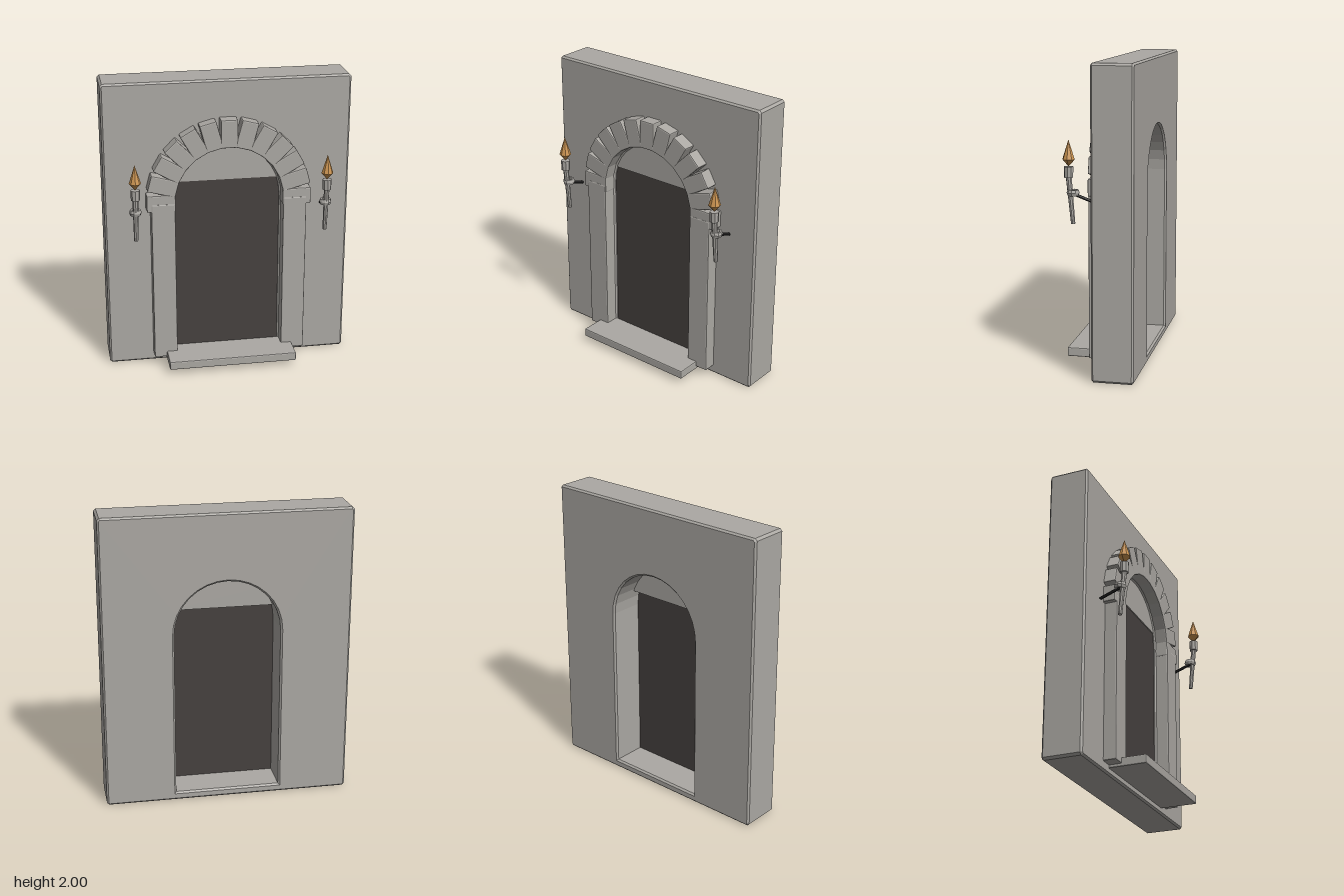
import * as THREE from 'three';
import { RoundedBoxGeometry } from 'three/addons/geometries/RoundedBoxGeometry.js';

const material = (name, color) => {
  const m = new THREE.MeshStandardMaterial({ color, flatShading: true });
  m.name = name;
  return m;
};

export function createModel() {
  const stone = material('stone', 0xaba8a3);
  const darkPanel = material('dark panel', 0x46413f);
  const flameColor = material('flame', 0xc9924f);
  const iron = material('iron', 0x2c2b2b);
  const root = new THREE.Group();
  root.name = 'archedDoorway';

  const add = (parent, name, geometry, mat, x = 0, y = 0, z = 0) => {
    const mesh = new THREE.Mesh(geometry, mat);
    mesh.name = name;
    mesh.position.set(x, y, z);
    parent.add(mesh);
    return mesh;
  };
  // Box given by its limits, with softened edges
  const block = (name, x0, x1, y0, y1, z0, z1, mat = stone) =>
    add(root, name, new RoundedBoxGeometry(x1 - x0, y1 - y0, z1 - z0, 1, 0.008), mat,
      (x0 + x1) / 2, (y0 + y1) / 2, (z0 + z1) / 2);

  const springY = 1.19, radius = 0.367, bevel = 0.012;

  // Wall slab with an arched opening
  const w = 0.83 - bevel, top = 2 - bevel, c = 0.008;
  const wall = new THREE.Shape([
    [-w + c, bevel], [w - c, bevel], [w, bevel + c], [w, top - c],
    [w - c, top], [-w + c, top], [-w, top - c], [-w, bevel + c],
  ].map(([x, y]) => new THREE.Vector2(x, y)));
  const opening = new THREE.Path();
  opening.moveTo(-radius, 0.045);
  opening.lineTo(radius, 0.045);
  opening.lineTo(radius, springY);
  opening.absarc(0, springY, radius, 0, Math.PI, false);
  opening.lineTo(-radius, 0.045);
  wall.holes.push(opening);
  add(root, 'wall', new THREE.ExtrudeGeometry(wall, {
    depth: 0.27 - 2 * bevel, bevelEnabled: true, bevelSize: bevel,
    bevelThickness: bevel, bevelSegments: 1, curveSegments: 8,
  }), stone, 0, 0, -0.26 + bevel);

  // Dark door panel and the stone infill above it
  add(root, 'doorPanel', new THREE.BoxGeometry(0.735, 1.28, 0.015), darkPanel, 0, 0.68, -0.015);
  const a = Math.asin((1.31 - springY) / radius);
  const infill = new THREE.Shape();
  infill.absarc(0, springY, radius, a, Math.PI - a, false);
  infill.closePath();
  add(root, 'archInfill', new THREE.ExtrudeGeometry(infill, {
    depth: 0.085, bevelEnabled: false, curveSegments: 12,
  }), stone, 0, 0, -0.085);

  // Jambs and doorstep
  block('leftJamb', 0.365, 0.525, 0.06, 1.19, 0, 0.095);
  block('rightJamb', -0.525, -0.365, 0.06, 1.19, 0, 0.095);
  block('doorstep', -0.44, 0.44, 0.04, 0.1, -0.005, 0.26);

  // Ring of arch stones, one every 15 degrees
  const arch = new THREE.Group();
  arch.name = 'archStones';
  root.add(arch);
  const stoneGeometry = new RoundedBoxGeometry(0.192, 0.115, 0.092, 1, 0.008);
  for (let i = 0; i <= 12; i++) {
    const t = (i / 12) * Math.PI, r = 0.458;
    const s = add(arch, 'archStone', stoneGeometry, stone,
      r * Math.cos(t), springY + 0.004 + r * Math.sin(t), 0.046);
    s.rotation.z = t;
  }

  // Wall torches
  const flameProfile = [[0, 0], [0.04, 0.045], [0, 0.17]].map(([x, y]) => new THREE.Vector2(x, y));
  for (const side of [1, -1]) {
    const torch = new THREE.Group();
    torch.name = side > 0 ? 'leftTorch' : 'rightTorch';
    torch.position.x = side * 0.637;
    root.add(torch);
    const handle = add(torch, 'handle', new THREE.CylinderGeometry(0.019, 0.014, 0.3, 8), stone, 0, 1.125, 0.179);
    handle.rotation.x = 0.09;
    add(torch, 'cup', new THREE.CylinderGeometry(0.031, 0.029, 0.07, 8), stone, 0, 1.305, 0.193);
    add(torch, 'flame', new THREE.LatheGeometry(flameProfile, 8), flameColor, 0, 1.34, 0.193);
    // Holding ring and its bracket arm
    const ring = add(torch, 'ring', new THREE.TorusGeometry(0.029, 0.012, 6, 10), stone, 0, 1.175, 0.165);
    ring.rotation.x = Math.PI / 2;
    ring.scale.z = 1.8;
    const arm = new THREE.LineCurve3(new THREE.Vector3(0, 1.175, 0.185), new THREE.Vector3(0, 1.117, 0.028));
    add(torch, 'bracketArm', new THREE.TubeGeometry(arm, 1, 0.01, 6), iron);
    const tip = add(torch, 'bracketTip', new THREE.SphereGeometry(0.0105, 6, 4), iron, 0, 1.118, 0.031);
    tip.scale.z = 0.8;
  }
  return root;
}
